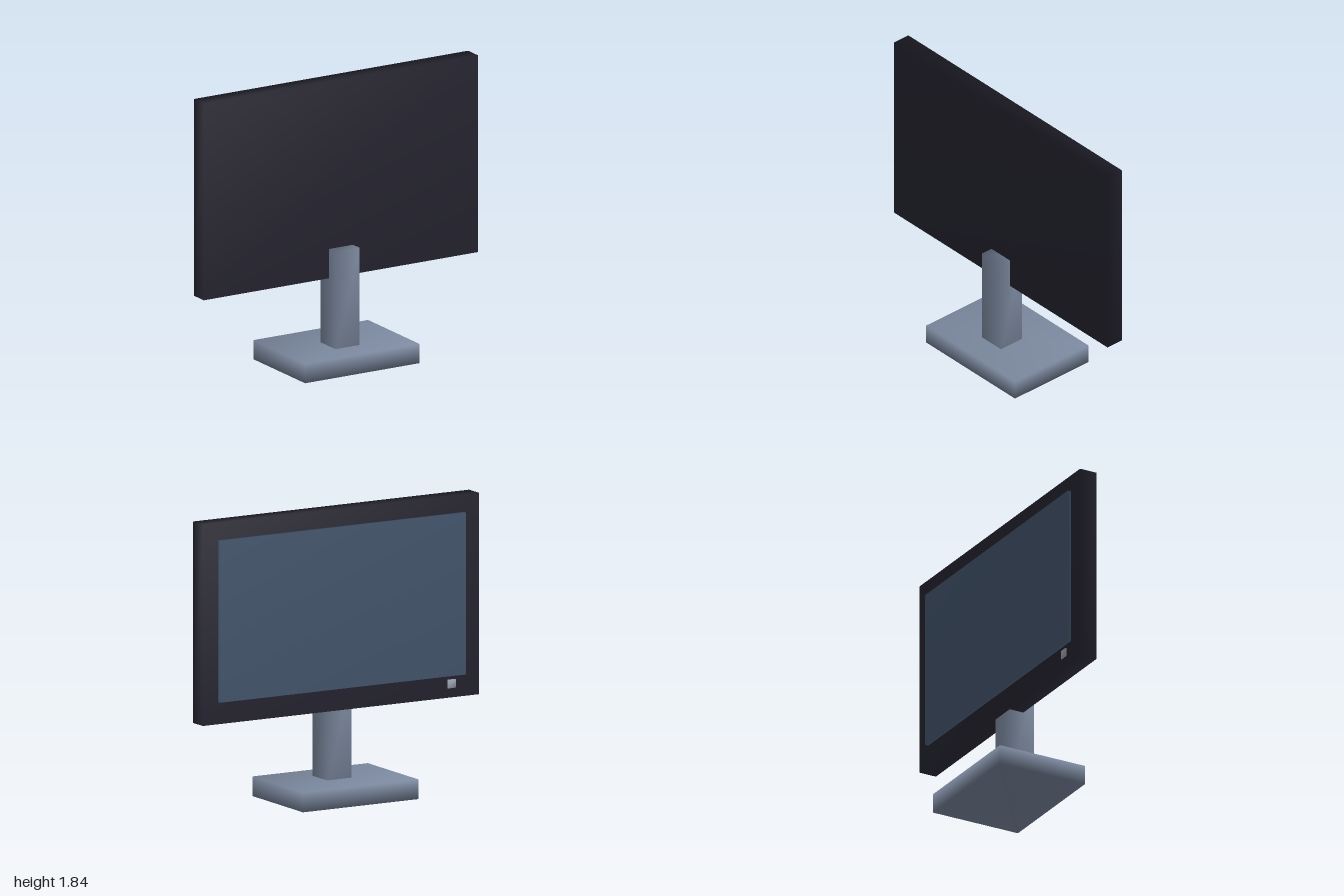
import * as THREE from 'three';
import { mergeVertices } from 'three/addons/utils/BufferGeometryUtils.js';

// Box whose corners share one averaged normal, for soft shading
function softBox(w, h, d) {
  const box = new THREE.BoxGeometry(w, h, d);
  box.deleteAttribute('normal');
  box.deleteAttribute('uv');
  const welded = mergeVertices(box);
  welded.computeVertexNormals();
  return welded;
}

function material(name, color) {
  const m = new THREE.MeshStandardMaterial({ color });
  m.name = name;
  return m;
}

export function createModel() {
  const black = material('black casing', 0x252430);
  const glass = material('blue screen', 0x43546c);
  const grey = material('grey stand', 0x7b889e);
  const silver = material('silver button', 0x9aa3b0);

  const group = new THREE.Group();
  group.name = 'monitor';

  // Place a box by its extents on each axis
  const add = (name, mat, [x0, x1], [y0, y1], [z0, z1]) => {
    const mesh = new THREE.Mesh(softBox(x1 - x0, y1 - y0, z1 - z0), mat);
    mesh.name = name;
    mesh.position.set((x0 + x1) / 2, (y0 + y1) / 2, (z0 + z1) / 2);
    group.add(mesh);
  };

  // Display: the screen looks towards -z
  add('casing', black, [-1, 1], [0.565, 1.84], [-0.066, 0.053]);
  add('screen', glass, [-0.89, 0.89], [0.705, 1.73], [-0.09, -0.05]);
  add('powerButton', silver, [-0.83, -0.77], [0.625, 0.68], [-0.072, -0.05]);

  // Stand
  add('post', grey, [-0.088, 0.088], [0.1, 0.755], [-0.045, 0.13]);
  add('base', grey, [-0.417, 0.417], [0, 0.125], [-0.305, 0.305]);

  // Whole monitor is turned very slightly
  group.rotation.y = -0.0095;
  return group;
}
